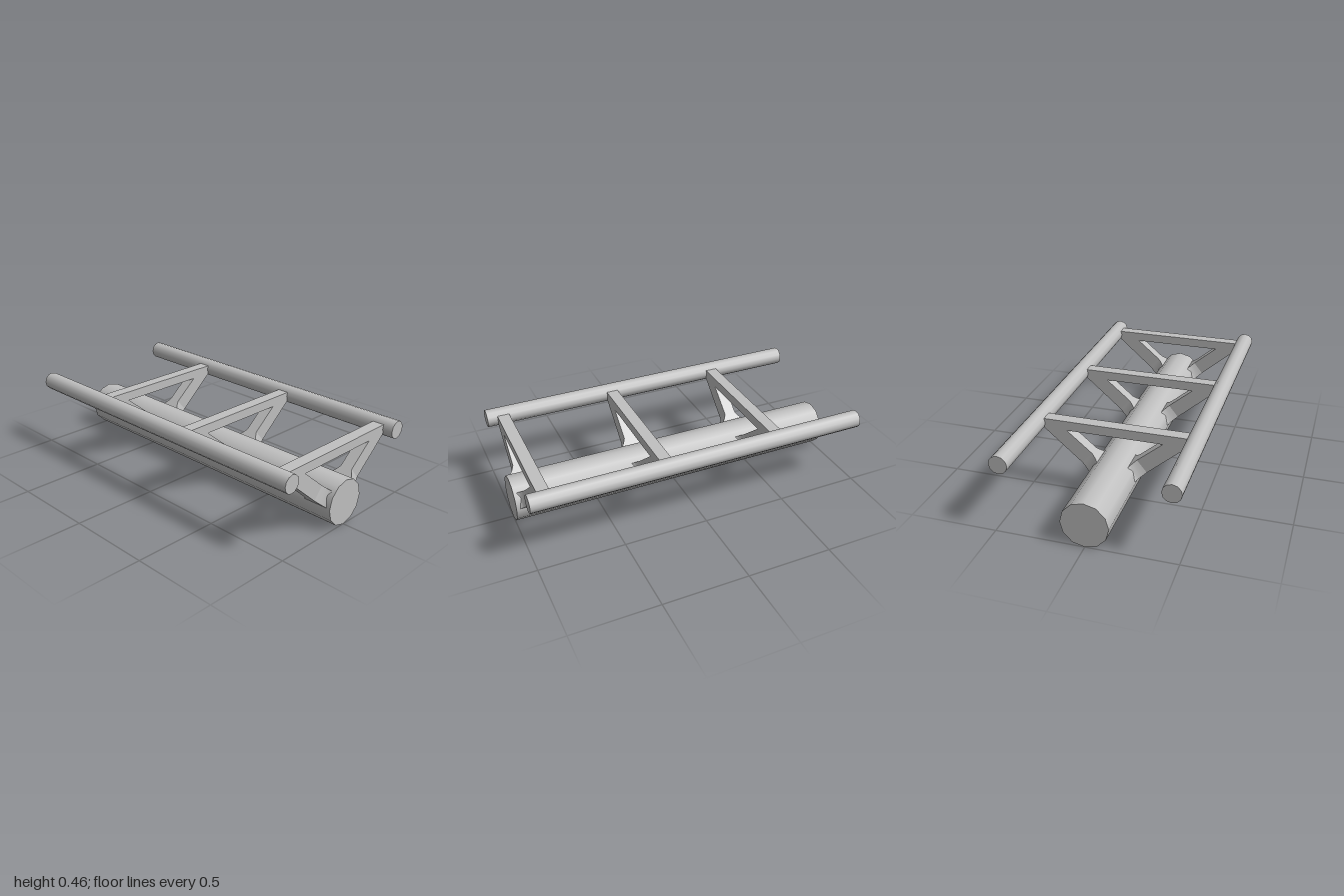
import * as THREE from 'three';
import { toCreasedNormals } from 'three/addons/utils/BufferGeometryUtils.js';

const HALF = 0.035; // half thickness of a brace
// leg points on the +x side: the foot on the tube and where the flare ends
const FOOT = { outer: [0.13, 0.14], inner: [0.09, 0.225] };
const NECK = { outer: [0.187, 0.189], inner: [0.13, 0.2585] };

const lerp = THREE.MathUtils.lerp;

function tube(name, radius, x, y, material) {
  const geo = new THREE.CylinderGeometry(radius, radius, 2, 12).rotateX(Math.PI / 2);
  const mesh = new THREE.Mesh(geo, material);
  mesh.name = name;
  mesh.position.set(x, y, 0);
  return mesh;
}

// flat triangular frame: cross bar with two slanted legs
function frameGeometry() {
  const right = [[0.275, 0.38], NECK.inner, NECK.outer, [0.405, 0.378], [0.41, 0.435]];
  const left = right.map(([x, y]) => [-x, y]).reverse();
  const shape = new THREE.Shape([...left, ...right].map(([x, y]) => new THREE.Vector2(x, y)));
  return new THREE.ExtrudeGeometry(shape, { depth: 2 * HALF, bevelEnabled: false }).translate(0, 0, -HALF);
}

// leg foot that widens in a concave curve towards the tube
function footGeometry(side) {
  const steps = 8, upper = [], lower = [];
  for (let i = 0; i <= steps; i++) {
    const t = i / steps;
    const w = HALF + 0.04 * (1 - Math.sqrt(1 - (1 - t) ** 2) * 0.5 - t * 0.5);
    upper.unshift(new THREE.Vector2(t, w));
    lower.push(new THREE.Vector2(t, -w));
  }
  const shape = new THREE.Shape([...lower, ...upper]);
  const geo = new THREE.ExtrudeGeometry(shape, { depth: 1, bevelEnabled: false });
  const p = geo.attributes.position;
  for (let i = 0; i < p.count; i++) {
    const t = p.getX(i), z = p.getY(i), s = p.getZ(i);
    const [x, y] = [0, 1].map((k) => lerp(
      lerp(FOOT.outer[k], NECK.outer[k], t),
      lerp(FOOT.inner[k], NECK.inner[k], t), s));
    p.setXYZ(i, side * x, y, -side * z);
  }
  return toCreasedNormals(geo, 0.6);
}

export function createModel() {
  const model = new THREE.Group();
  model.name = 'tubeTruss';
  const grey = new THREE.MeshStandardMaterial({ color: 0xc0c0c0 });
  grey.name = 'grey';

  // tubes running front to back
  model.add(tube('mainTube', 0.1325, 0, 0.1325, grey));
  model.add(tube('leftRail', 0.052, 0.452, 0.409, grey));
  model.add(tube('rightRail', 0.052, -0.452, 0.409, grey));

  // three braces joining the tubes
  const frame = frameGeometry();
  const feet = { leftFoot: footGeometry(1), rightFoot: footGeometry(-1) };
  for (const z of [0.905, 0.215, -0.475]) {
    const brace = new THREE.Group();
    brace.name = 'brace';
    brace.position.z = z;
    const frameMesh = new THREE.Mesh(frame, grey);
    frameMesh.name = 'braceFrame';
    brace.add(frameMesh);
    for (const [name, geo] of Object.entries(feet)) {
      const foot = new THREE.Mesh(geo, grey);
      foot.name = name;
      brace.add(foot);
    }
    model.add(brace);
  }
  return model;
}
